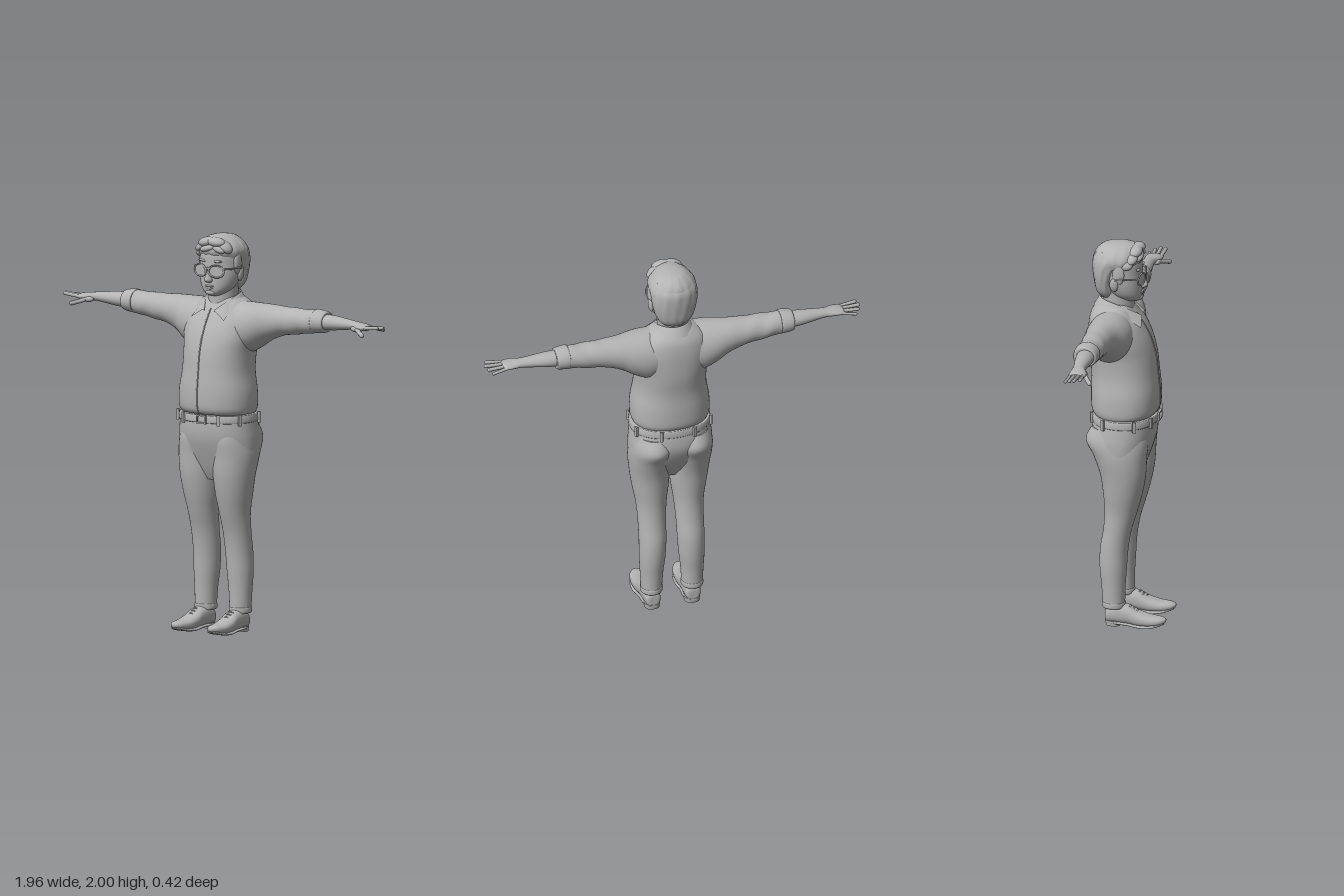
import * as THREE from 'three';

const grey = new THREE.MeshStandardMaterial({ color: 0xb3b3b3, side: THREE.DoubleSide });
grey.name = 'plain grey';

// smooth interpolation through a list of ring parameters
function sample(rings, s) {
  const n = rings.length - 1, f = Math.min(s * n, n - 1e-6), i = Math.floor(f), t = f - i;
  const a = rings[Math.max(i - 1, 0)], b = rings[i], c = rings[i + 1], d = rings[Math.min(i + 2, n)];
  return b.map((_, k) => {
    const m0 = (c[k] - a[k]) / 2, m1 = (d[k] - b[k]) / 2;
    return b[k] + m0 * t + (3 * (c[k] - b[k]) - 2 * m0 - m1) * t * t + (2 * (b[k] - c[k]) + m0 + m1) * t * t * t;
  });
}

// closed skin over rings [t, centreU, centreV, radiusU, radiusV]; axes: y -> (x,z), x -> (z,y), z -> (y,x)
function loft(axis, rings, { seg = 40, sub = 5, pow = 1, bump = null } = {}) {
  const pos = [], idx = [], rows = (rings.length - 1) * sub;
  const put = (t, u, v) => pos.push(...(axis === 'y' ? [u, t, v] : axis === 'x' ? [t, v, u] : [v, u, t]));
  const bend = c => Math.sign(c) * Math.abs(c) ** pow;
  for (let j = 0; j <= rows; j++) {
    const [t, cu, cv, ru, rv] = sample(rings, j / rows);
    for (let i = 0; i < seg; i++) {
      const a = i / seg * Math.PI * 2, k = bump ? 1 + bump(a, t) : 1;
      put(t, cu + ru * k * bend(Math.cos(a)), cv + rv * k * bend(Math.sin(a)));
    }
  }
  for (let j = 0; j < rows; j++) for (let i = 0; i < seg; i++) {
    const a = j * seg + i, b = j * seg + (i + 1) % seg;
    idx.push(a, a + seg, b, b, a + seg, b + seg);
  }
  for (const end of [0, rows]) { // end caps with their own vertices
    const r = sample(rings, end / rows), base = pos.length / 3;
    pos.push(...pos.slice(end * seg * 3, (end + 1) * seg * 3));
    put(r[0], r[1], r[2]);
    for (let i = 0; i < seg; i++) {
      const p = base + i, q = base + (i + 1) % seg;
      end ? idx.push(p, base + seg, q) : idx.push(p, q, base + seg);
    }
  }
  const g = new THREE.BufferGeometry();
  g.setAttribute('position', new THREE.Float32BufferAttribute(pos, 3));
  g.setIndex(idx);
  // rings may run down the axis as well as up
  if (rings[0][0] > rings[rings.length - 1][0]) flip(g);
  g.computeVertexNormals();
  return g;
}
function flip(g) {
  const a = g.index.array;
  for (let i = 0; i < a.length; i += 3) [a[i], a[i + 1]] = [a[i + 1], a[i]];
}
function mirrored(g) {
  const m = g.clone().scale(-1, 1, 1);
  flip(m);
  m.computeVertexNormals();
  return m;
}
function ball(x, y, z, rx, ry, rz, tilt = 0) {
  return new THREE.SphereGeometry(1, 24, 16).scale(rx, ry, rz).rotateZ(tilt).translate(x, y, z);
}
const box = (w, h, d, x, y, z) => new THREE.BoxGeometry(w, h, d).translate(x, y, z);
const tube = (pts, r, n = 24) =>
  new THREE.TubeGeometry(new THREE.CatmullRomCurve3(pts.map(p => new THREE.Vector3(...p))), n, r, 8);
// rounded digit between two points
function digit(a, b, r) {
  const p = new THREE.Vector3(...a), q = new THREE.Vector3(...b), d = q.clone().sub(p);
  const g = new THREE.CapsuleGeometry(r, d.length() - r, 5, 10);
  g.applyQuaternion(new THREE.Quaternion().setFromUnitVectors(new THREE.Vector3(0, 1, 0), d.clone().normalize()));
  return g.translate(...p.add(q).multiplyScalar(0.5).toArray());
}

export function createModel() {
  const model = new THREE.Group();
  const add = (name, g) => {
    const m = new THREE.Mesh(g, grey);
    m.name = name;
    model.add(m);
  };
  const pair = (name, g) => { add(name + 'Left', g); add(name + 'Right', mirrored(g)); };

  // shirt
  const torso = [[1.11, 0, -0.02, 0.192, 0.155], [1.14, 0, -0.018, 0.2, 0.17], [1.22, 0, -0.018, 0.198, 0.173],
    [1.32, 0, -0.022, 0.182, 0.168], [1.42, 0, -0.034, 0.182, 0.168], [1.5, 0, -0.047, 0.195, 0.158],
    [1.57, 0, -0.063, 0.195, 0.14], [1.63, 0, -0.078, 0.165, 0.115], [1.67, 0, -0.08, 0.115, 0.09],
    [1.69, 0, -0.075, 0.07, 0.07]];
  add('shirtBody', loft('y', torso, { seg: 56, pow: 0.9 }));
  add('shirtPlacket', tube(torso.slice(0, 8).map(([t, , cz, , rz]) => [-0.008, t, cz + rz]), 0.004));
  const wrinkle = (a, t) => 0.025 * Math.sin(t * 55 + 2 * a) * Math.max(0, Math.min(1, (t - 0.28) * 5));
  pair('sleeve', loft('x', [[0.06, -0.07, 1.535, 0.11, 0.13], [0.14, -0.07, 1.535, 0.118, 0.132],
    [0.21, -0.075, 1.55, 0.108, 0.115], [0.28, -0.085, 1.572, 0.085, 0.09], [0.36, -0.088, 1.585, 0.072, 0.073],
    [0.46, -0.088, 1.592, 0.066, 0.064], [0.56, -0.09, 1.6, 0.06, 0.056]], { bump: wrinkle, sub: 7 }));
  pair('sleeveCuff', loft('x', [[0.55, -0.09, 1.602, 0.058, 0.052], [0.556, -0.09, 1.602, 0.065, 0.06],
    [0.61, -0.091, 1.602, 0.06, 0.053], [0.617, -0.091, 1.602, 0.05, 0.044]]));

  // folded collar, with points at the front
  const cp = [], ci = [], N = 48;
  for (let k = 0; k <= N; k++) {
    const s = k / N * 2 - 1, f = Math.abs(s), phi = s * 2.75, w = f ** 6;
    const x = Math.sin(phi), z = -Math.cos(phi), y = 1.705 - 0.085 * f ** 3;
    cp.push(0.08 * x, y, -0.062 + 0.083 * z + 0.045 * w);
    cp.push(0.086 * x, y + 0.008, -0.062 + 0.09 * z + 0.048 * w);
    cp.push(0.112 * x + Math.sign(s) * 0.06 * w, y - 0.042 + 0.005 * w, -0.064 + 0.118 * z + 0.035 * w);
    if (k < N) for (const r of [0, 1]) {
      const a = k * 3 + r;
      ci.push(a, a + 1, a + 3, a + 3, a + 1, a + 4);
    }
  }
  const collar = new THREE.BufferGeometry();
  collar.setAttribute('position', new THREE.Float32BufferAttribute(cp, 3));
  collar.setIndex(ci);
  collar.computeVertexNormals();
  add('collar', collar);

  // forearms and hands
  pair('forearm', loft('x', [[0.58, -0.088, 1.602, 0.046, 0.04], [0.66, -0.086, 1.603, 0.044, 0.037],
    [0.74, -0.083, 1.604, 0.034, 0.028], [0.79, -0.08, 1.604, 0.031, 0.022], [0.83, -0.073, 1.602, 0.041, 0.02],
    [0.87, -0.072, 1.6, 0.043, 0.016], [0.885, -0.072, 1.6, 0.034, 0.01]], { seg: 28 }));
  [[-0.104, 0.945, -0.116, 1.588], [-0.084, 0.963, -0.092, 1.6], [-0.063, 0.973, -0.066, 1.608],
    [-0.043, 0.962, -0.037, 1.61]].forEach(([z, tx, tz, ty], i) =>
    pair('finger' + (i + 1), digit([0.86, 1.6, z], [tx, ty, tz], i ? 0.0095 : 0.008)));
  pair('thumb', digit([0.81, 1.597, -0.055], [0.895, 1.568, 0.0], 0.0115));
  pair('thumbBase', ball(0.825, 1.592, -0.05, 0.035, 0.017, 0.02));

  // trousers
  add('trouserHips', loft('y', [[0.77, 0, -0.01, 0.1, 0.06], [0.82, 0, -0.015, 0.17, 0.09],
    [0.89, 0, -0.023, 0.208, 0.125], [0.97, 0, -0.027, 0.213, 0.155], [1.03, 0, -0.025, 0.208, 0.162],
    [1.1, 0, -0.02, 0.198, 0.157]], { seg: 56, pow: 0.92 }));
  pair('trouserLeg', loft('y', [[0.095, 0.106, -0.058, 0.053, 0.056], [0.2, 0.105, -0.06, 0.058, 0.06],
    [0.3, 0.102, -0.062, 0.066, 0.068], [0.4, 0.099, -0.058, 0.069, 0.071], [0.5, 0.098, -0.042, 0.071, 0.071],
    [0.6, 0.097, -0.024, 0.077, 0.082], [0.7, 0.099, -0.014, 0.092, 0.099], [0.8, 0.102, -0.012, 0.103, 0.115],
    [0.9, 0.104, -0.026, 0.11, 0.135], [0.98, 0.1, -0.043, 0.108, 0.158], [1.05, 0.098, -0.035, 0.095, 0.135]]));
  pair('trouserHem', loft('y', [[0.095, 0.106, -0.058, 0.05, 0.053], [0.1, 0.106, -0.058, 0.056, 0.059],
    [0.12, 0.106, -0.058, 0.056, 0.059], [0.125, 0.106, -0.058, 0.052, 0.055]]));

  // belt, loops and buckle
  add('belt', loft('y', [[1.068, 0, -0.019, 0.2, 0.158], [1.071, 0, -0.019, 0.207, 0.166],
    [1.103, 0, -0.019, 0.204, 0.164], [1.106, 0, -0.019, 0.197, 0.157]], { seg: 56, pow: 0.92, sub: 3 }));
  for (const a of [0.5, 1.1, 2.0, 2.75]) {
    const g = new THREE.BoxGeometry(0.016, 0.055, 0.012).rotateY(a);
    pair('beltLoop', g.translate(0.212 * Math.sin(a) ** 0.92, 1.085,
      -0.019 + 0.171 * Math.sign(Math.cos(a)) * Math.abs(Math.cos(a)) ** 0.92));
  }
  for (const s of [-1, 1]) {
    add('buckleBar', box(0.055, 0.007, 0.012, 0.015, 1.087 + s * 0.019, 0.149));
    add('buckleSide', box(0.007, 0.04, 0.012, 0.015 + s * 0.025, 1.087, 0.149));
  }

  // shoes
  pair('shoe', loft('z', [[-0.1, 0.05, 0.104, 0.022, 0.02], [-0.09, 0.055, 0.104, 0.04, 0.037],
    [-0.04, 0.064, 0.105, 0.052, 0.044], [0.02, 0.06, 0.107, 0.049, 0.046], [0.07, 0.045, 0.109, 0.038, 0.05],
    [0.13, 0.037, 0.111, 0.028, 0.048], [0.18, 0.039, 0.112, 0.021, 0.036], [0.205, 0.042, 0.112, 0.011, 0.018],
    [0.21, 0.043, 0.112, 0.002, 0.004]], { seg: 28, pow: 0.85 }));
  pair('shoeHeel', loft('y', [[0, 0.104, -0.06, 0.038, 0.037], [0.028, 0.104, -0.06, 0.041, 0.041]], { pow: 0.8 }));
  pair('shoeSole', loft('z', [[-0.1, 0.022, 0.104, 0.005, 0.02], [-0.06, 0.02, 0.104, 0.007, 0.043],
    [0.02, 0.015, 0.107, 0.007, 0.044], [0.09, 0.01, 0.11, 0.008, 0.053], [0.15, 0.016, 0.111, 0.008, 0.047],
    [0.2, 0.03, 0.112, 0.006, 0.024]], { seg: 24, pow: 0.6 }));
  for (const [y, z] of [[0.108, 0.025], [0.098, 0.043], [0.086, 0.06]])
    pair('shoeLace', tube([[0.083, y - 0.012, z], [0.108, y + 0.001, z + 0.004], [0.133, y - 0.012, z]], 0.004, 8));

  // neck, head and face
  add('neck', loft('y', [[1.6, 0, -0.055, 0.07, 0.078], [1.68, 0, -0.057, 0.073, 0.078],
    [1.78, 0, -0.06, 0.078, 0.085]]));
  add('head', loft('y', [[1.695, 0, 0.01, 0.025, 0.035], [1.71, 0, 0.002, 0.055, 0.058],
    [1.74, 0, -0.018, 0.086, 0.083], [1.79, 0, -0.035, 0.104, 0.1], [1.85, 0, -0.045, 0.108, 0.107],
    [1.91, 0, -0.05, 0.105, 0.108], [1.95, 0, -0.055, 0.08, 0.08]]));
  add('nose', loft('y', [[1.765, 0, 0.06, 0.014, 0.012], [1.778, 0, 0.066, 0.021, 0.026],
    [1.805, 0, 0.062, 0.013, 0.022], [1.845, 0, 0.055, 0.01, 0.012]], { seg: 20 }));
  add('upperLip', ball(0, 1.747, 0.062, 0.027, 0.006, 0.009));
  add('lowerLip', ball(0, 1.737, 0.06, 0.023, 0.007, 0.009));
  add('chin', ball(0, 1.715, 0.048, 0.03, 0.016, 0.02));
  pair('ear', ball(0.109, 1.803, -0.058, 0.012, 0.036, 0.022, -0.15));
  pair('eyebrow', ball(0.045, 1.872, 0.053, 0.028, 0.006, 0.008, 0.08));

  // hair: back shell, crown and wavy fringe
  const strands = (a, t) => 0.012 * Math.sin(13 * a + 18 * t) + 0.008 * Math.sin(23 * a - 30 * t);
  add('hairBack', loft('y', [[1.715, 0, -0.1, 0.06, 0.045], [1.75, 0, -0.112, 0.088, 0.058],
    [1.81, 0, -0.115, 0.107, 0.066], [1.87, 0, -0.105, 0.117, 0.082], [1.92, 0, -0.085, 0.117, 0.1],
    [1.96, 0, -0.075, 0.095, 0.085]], { seg: 72, bump: strands }));
  add('hairCrown', loft('y', [[1.885, 0, -0.06, 0.114, 0.108], [1.92, 0, -0.058, 0.12, 0.122],
    [1.955, 0, -0.056, 0.104, 0.113], [1.985, 0, -0.05, 0.068, 0.085], [1.997, 0, -0.045, 0.03, 0.04],
    [1.999, 0, -0.045, 0.003, 0.004]], { seg: 72, bump: strands }));
  pair('sideburn', ball(0.106, 1.86, -0.035, 0.013, 0.055, 0.03));
  [[-0.065, 1.94, 0.025, 0.045, 0.022, 0.03, 0.5], [-0.03, 1.965, 0.035, 0.05, 0.025, 0.035, 0.2],
    [0.025, 1.968, 0.037, 0.052, 0.025, 0.035, -0.1], [0.07, 1.945, 0.02, 0.042, 0.024, 0.035, -0.7],
    [-0.015, 1.935, 0.048, 0.05, 0.018, 0.024, 0.25], [0.045, 1.935, 0.045, 0.04, 0.018, 0.022, -0.35],
    [-0.09, 1.91, 0, 0.03, 0.02, 0.035, 0.9]].forEach(p => add('fringeLock', ball(...p)));

  // glasses
  pair('lensFrame', new THREE.TorusGeometry(0.036, 0.0045, 8, 32).scale(1.15, 0.85, 1).rotateY(0.22).translate(0.049, 1.825, 0.07));
  pair('lens', new THREE.CircleGeometry(0.036, 32).scale(1.15, 0.85, 1).rotateY(0.22).translate(0.049, 1.825, 0.07));
  add('glassesBridge', box(0.03, 0.008, 0.008, 0, 1.838, 0.077));
  pair('glassesTemple', tube([[0.09, 1.838, 0.06], [0.112, 1.838, 0.02], [0.117, 1.836, -0.04], [0.114, 1.82, -0.07]], 0.004));
  return model;
}
